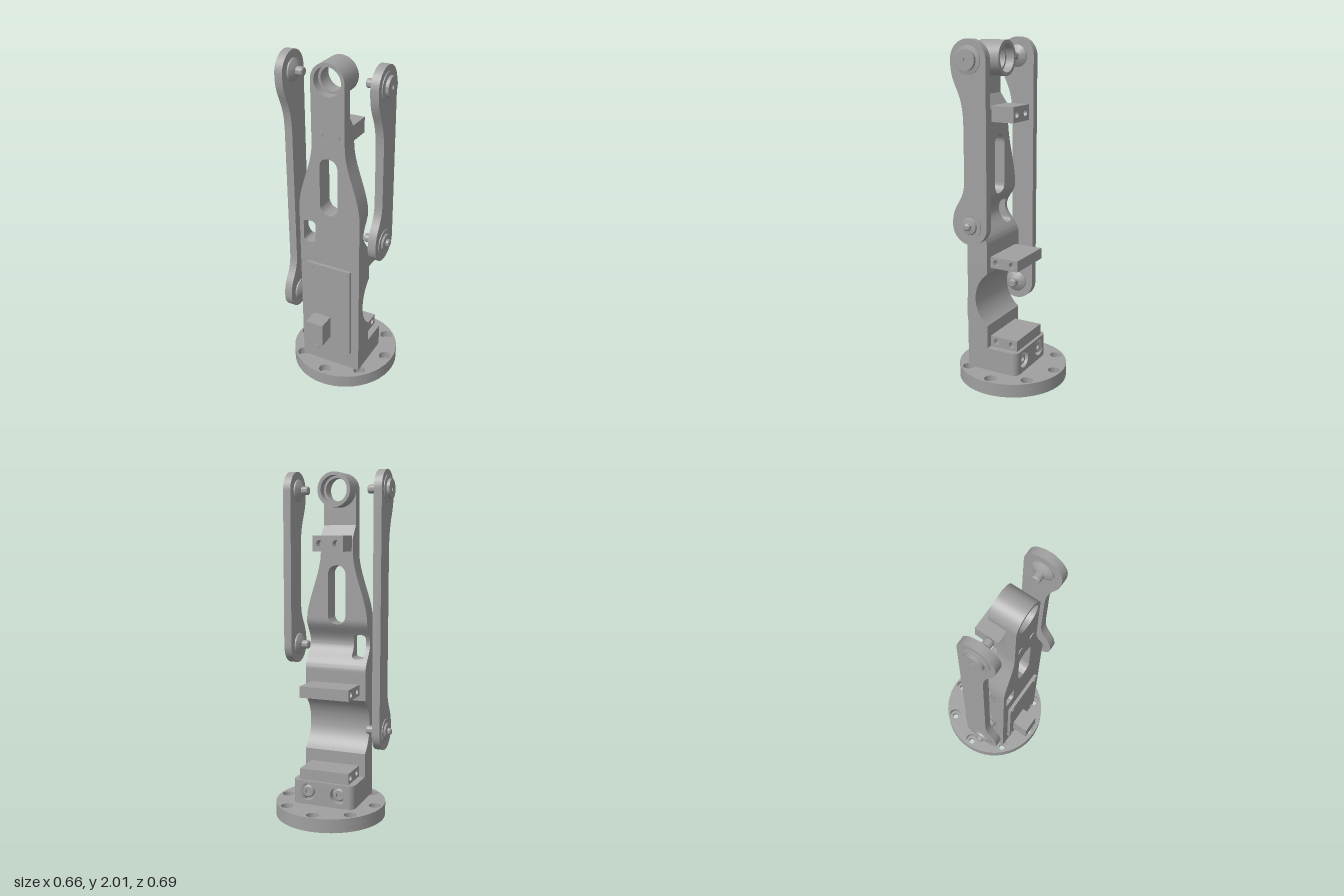
import * as THREE from 'three';
import { toCreasedNormals } from 'three/addons/utils/BufferGeometryUtils.js';

// Local frame of the arm: x = towards the bracket side, z = across the column.
export function createModel() {
  const root = new THREE.Group();
  root.name = 'linkageArm';
  root.position.set(0.005, 0, -0.025);
  root.rotation.y = 0.471;
  const grey = new THREE.MeshStandardMaterial({ color: 0xa0a0a0 });
  grey.name = 'metalGrey';

  const add = (name, geo, x = 0, y = 0, z = 0, parent = root) => {
    const m = new THREE.Mesh(toCreasedNormals(geo, 0.6), grey);
    m.name = name;
    m.position.set(x, y, z);
    parent.add(m);
    return m;
  };
  const box = (name, x0, x1, y0, y1, z0, z1) =>
    add(name, new THREE.BoxGeometry(x1 - x0, y1 - y0, z1 - z0), (x0 + x1) / 2, (y0 + y1) / 2, (z0 + z1) / 2);
  const circle = (x, y, r) => new THREE.Path().absarc(x, y, r, 0, Math.PI * 2, true);
  const rect = (x0, x1, y0, y1) => new THREE.Shape([[x0, y0], [x1, y0], [x1, y1], [x0, y1]].map(p => new THREE.Vector2(...p)));
  const extrude = (shape, depth, bevel = 0) => new THREE.ExtrudeGeometry(shape, {
    depth, curveSegments: 24, bevelEnabled: bevel > 0, bevelSize: bevel, bevelThickness: bevel, bevelOffset: -bevel, bevelSegments: 1,
  });
  const lathe = pts => new THREE.LatheGeometry(pts.map(p => new THREE.Vector2(...p)), 40);
  const rodX = (r, len) => new THREE.CylinderGeometry(r, r, len, 24).rotateZ(-Math.PI / 2);
  const rodZ = (r, len) => new THREE.CylinderGeometry(r, r, len, 24).rotateX(Math.PI / 2);

  // Round base with eight counterbored holes
  const disc = holeRadius => {
    const s = new THREE.Shape().absarc(0, 0, 0.325, 0, Math.PI * 2);
    for (let i = 0; i < 8; i++) {
      const a = i * Math.PI / 4;
      s.holes.push(circle(0.278 * Math.cos(a), 0.278 * Math.sin(a), holeRadius));
    }
    return s;
  };
  add('baseLower', extrude(disc(0.019), 0.035).rotateX(-Math.PI / 2));
  add('baseUpper', extrude(disc(0.036), 0.045).rotateX(-Math.PI / 2), 0, 0.035);

  // Column: rule for half width and for the scalloped bracket-side face
  const smooth = THREE.MathUtils.smoothstep;
  const halfWidth = y => 0.19 - 0.09 * smooth(y, 1.13, 1.55);
  const back = -0.2;
  const face = y => {
    let u = -0.068 - 0.022 * smooth(y, 0.9, 1.1) - 0.05 * THREE.MathUtils.clamp((y - 1.63) / 0.07, 0, 1);
    const d1 = Math.abs(y - 0.52), d2 = Math.abs(y - 1.0);
    if (d1 < 0.16) u -= Math.sqrt(0.04 - d1 * d1) - 0.12;
    if (d2 < 0.15) u -= 0.068 * Math.cos(d2 / 0.15 * Math.PI / 2) ** 2;
    return u;
  };
  // Loft of four-cornered sections between two heights
  const loft = (y0, y1, left, right, n) => {
    const pos = [];
    const section = y => [[face(y), y, left(y)], [face(y), y, right(y)], [back, y, right(y)], [back, y, left(y)]];
    const tri = (...c) => c.forEach(p => pos.push(...p));
    for (let k = 0; k < n; k++) {
      const a = section(y0 + (y1 - y0) * k / n), b = section(y0 + (y1 - y0) * (k + 1) / n);
      for (let i = 0; i < 4; i++) {
        const j = (i + 1) % 4;
        tri(a[i], b[i], b[j]);
        tri(a[i], b[j], a[j]);
      }
      if (k === 0) { tri(a[0], a[1], a[2]); tri(a[0], a[2], a[3]); }
      if (k === n - 1) { tri(b[0], b[2], b[1]); tri(b[0], b[3], b[2]); }
    }
    const g = new THREE.BufferGeometry();
    g.setAttribute('position', new THREE.Float32BufferAttribute(pos, 3));
    return g;
  };
  const solid = (y0, y1, n) => add('column', loft(y0, y1, y => -halfWidth(y), halfWidth, n));
  const split = (y0, y1, n, centre, gap) => {
    add('column', loft(y0, y1, y => -halfWidth(y), y => centre - gap(y), n));
    add('column', loft(y0, y1, y => centre + gap(y), halfWidth, n));
  };
  const slotGap = (y0, y1, w, r) => y => {
    const d = Math.max(0, r - Math.min(y - y0, y1 - y));
    return w - r + Math.sqrt(Math.max(0, r * r - d * d));
  };
  solid(0.08, 0.92, 84);
  split(0.92, 1.06, 28, -0.127, slotGap(0.92, 1.06, 0.038, 0.02)); // small window
  solid(1.06, 1.12, 8);
  split(1.12, 1.47, 50, 0, slotGap(1.12, 1.47, 0.055, 0.055)); // long slot
  solid(1.47, 1.815, 36);
  split(1.815, 1.9, 16, 0, y => Math.sqrt(Math.max(0, 0.085 ** 2 - (1.9 - y) ** 2))); // cradle of the hub

  // Bearing hub with an inner lip
  add('hub', lathe([[0.1, -0.201], [0.1, -0.04], [0.08, -0.04], [0.08, -0.09], [0.066, -0.09],
    [0.066, -0.15], [0.08, -0.15], [0.08, -0.201], [0.1, -0.201]]).rotateZ(-Math.PI / 2), 0, 1.9);

  // Two wide brackets with blind holes in both ends
  for (const y of [0.22, 0.71]) {
    const s = rect(-0.08, 0.11, y, y + 0.066);
    for (const x of [-0.03, 0.072]) {
      s.holes.push(circle(x, y + 0.033, 0.018));
      add('bracketHoleFloor', rodZ(0.0185, 0.22), x, y + 0.033);
    }
    add('bracket', extrude(s, 0.304), 0, 0, -0.152);
  }

  // Upper bracket with two holes in its face
  const upper = rect(-0.093, 0.093, 1.55, 1.64);
  for (const z of [-0.05, 0.05]) {
    upper.holes.push(circle(z, 1.595, 0.02));
    add('bracketHoleFloor', rodX(0.0205, 0.09), -0.045, 1.595, z);
    add('backScrew', rodX(0.02, 0.01), back, 1.6, z);
    add('backScrew', rodX(0.022, 0.01), back, 0.155, z * 2);
  }
  add('upperBracket', extrude(upper, 0.145).rotateY(Math.PI / 2), -0.095);

  // Foot block with rounded corners and two sunken bolts
  box('footBlock', -0.1, 0.088, 0.08, 0.22, -0.19, 0.19);
  const front = rect(-0.15, 0.15, 0.08, 0.22);
  for (const s of [-1, 1]) {
    front.holes.push(circle(s * 0.097, 0.155, 0.05));
    add('footCorner', new THREE.CylinderGeometry(0.04, 0.04, 0.14, 32), 0.088, 0.15, s * 0.15);
    add('footBolt', lathe([[0.036, 0], [0.036, 0.025], [0.03, 0.031], [0.017, 0.031], [0.017, 0.015], [0, 0.015]])
      .rotateZ(-Math.PI / 2), 0.088, 0.155, s * 0.097);
  }
  add('footFace', extrude(front, 0.04).rotateY(Math.PI / 2), 0.088);

  // Cover plate, its screws and the connector box on the back
  box('coverPlate', -0.219, back, 0.2, 0.79, -0.14, 0.14);
  for (const y of [0.23, 0.765]) for (const z of [-0.115, 0.115]) add('coverScrew', rodX(0.013, 0.008), -0.219, y, z);
  box('connectorBox', -0.318, -0.219, 0.29, 0.435, -0.1, 0.01);

  // Side links: straight on one edge, necked on the other
  const linkX = -0.113, r = 0.11, neck = -0.032, top = 1.9;
  const linkShape = low => {
    const s = new THREE.Shape();
    s.moveTo(r, low);
    s.lineTo(r, top);
    s.absarc(0, top, r, 0, Math.PI, false);
    s.bezierCurveTo(-r, top - 0.16, neck, top - 0.14, neck, top - 0.36);
    s.lineTo(neck, low + 0.26);
    s.bezierCurveTo(neck, low + 0.12, -r, low + 0.13, -r, low);
    s.absarc(0, low, r, Math.PI, Math.PI * 2, false);
    return s;
  };
  const inner = [[0, 0.185], [0.02, 0.185], [0.025, 0.19], [0.025, 0.225], [0.05, 0.235], [0.065, 0.245], [0.065, 0.255]];
  const topJoint = [...inner, [0.078, 0.298], [0.078, 0.305], [0.056, 0.309], [0.056, 0.327], [0.012, 0.327], [0.012, 0.318], [0, 0.318]];
  const lowJoint = [...inner, [0.074, 0.298], [0.074, 0.305], [0.05, 0.305], [0.045, 0.315], [0.022, 0.319], [0.02, 0.332], [0.012, 0.338], [0, 0.338]];
  for (const [side, low] of [[1, 0.99], [-1, 0.5]]) {
    const link = new THREE.Group();
    link.name = side > 0 ? 'frontLink' : 'rearLink';
    link.position.x = linkX;
    root.add(link);
    add('linkBar', extrude(linkShape(low), 0.047), 0, 0, side > 0 ? 0.253 : -0.3, link);
    add('topJoint', lathe(topJoint).rotateX(side * Math.PI / 2), 0, top, 0, link);
    add('lowerJoint', lathe(lowJoint).rotateX(side * Math.PI / 2), 0, low, 0, link);
  }

  const model = new THREE.Group();
  model.name = 'model';
  model.add(root);
  return model;
}
